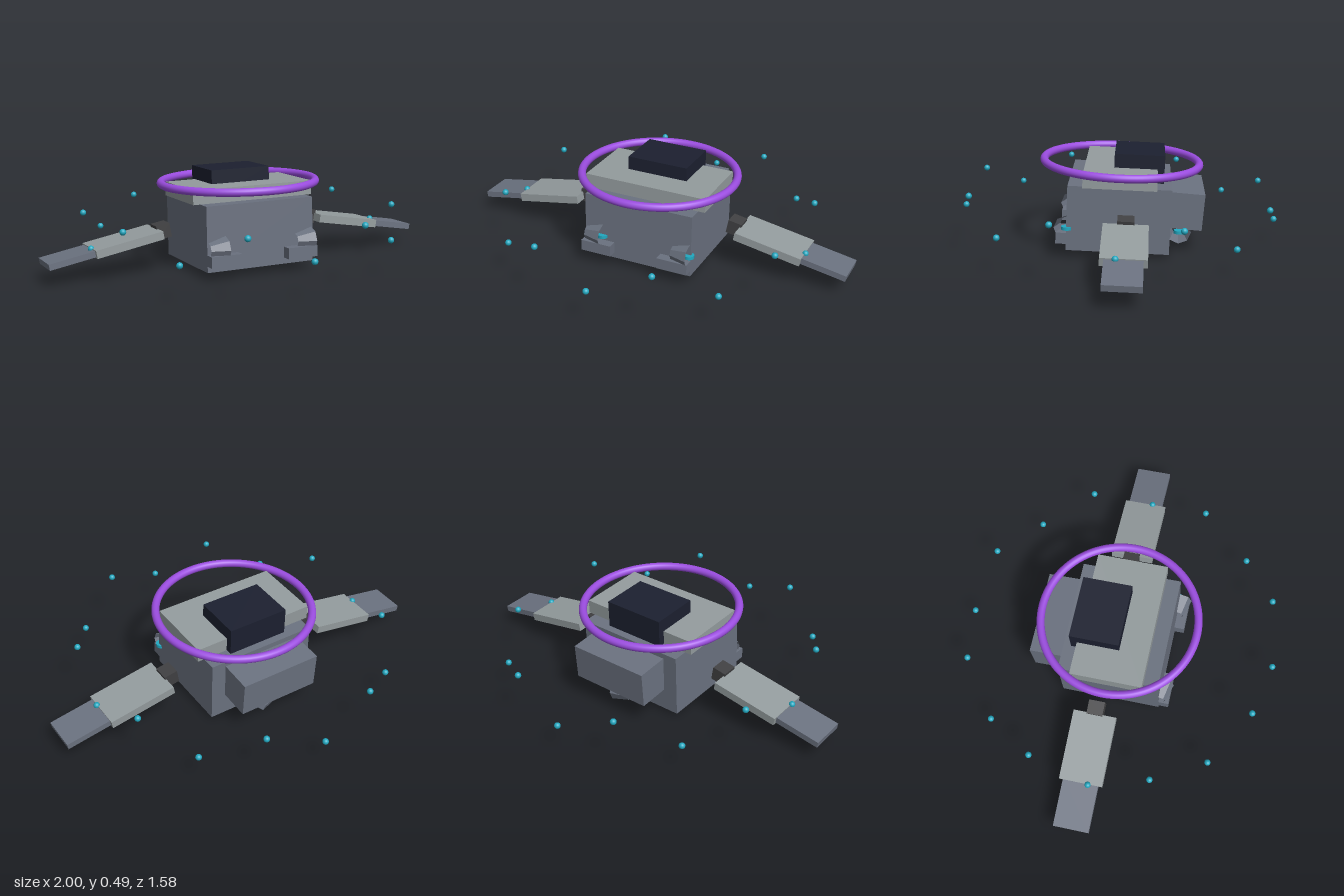
import * as THREE from 'three';

const mat = (color, extra = {}) => new THREE.MeshStandardMaterial({ color, ...extra });
const hullMat = mat(0x6b7280);
const plateMat = mat(0x949c9e);
const darkMat = mat(0x404042);
const lidMat = mat(0x1c2030);
const ringMat = mat(0x9b4de0);
const glowMat = mat(0x22a8c0);
const nozzleMat = mat(0x6b7280, { flatShading: true, side: THREE.DoubleSide });

function add(parent, name, geometry, material, x = 0, y = 0, z = 0) {
  const mesh = new THREE.Mesh(geometry, material);
  mesh.name = name;
  mesh.position.set(x, y, z);
  parent.add(mesh);
  return mesh;
}
const box = (w, h, d) => new THREE.BoxGeometry(w, h, d);

// Open cone flaring towards +x with a glowing disc in its mouth
function addThruster(parent, name, x, y, z) {
  const thruster = new THREE.Group();
  thruster.name = name;
  thruster.position.set(x, y, z);
  const cone = new THREE.CylinderGeometry(0.062, 0.035, 0.09, 8, 1, true);
  add(thruster, 'nozzle', cone, nozzleMat).rotation.z = -Math.PI / 2;
  add(thruster, 'glowDisc', new THREE.CylinderGeometry(0.026, 0.026, 0.016, 16), glowMat, 0.042);
  parent.add(thruster);
}

// Drooping two-panel wing, side = 1 for the left and -1 for the right
function addWing(parent, side) {
  const wing = new THREE.Group();
  wing.name = side > 0 ? 'leftWing' : 'rightWing';
  wing.position.set(side * 0.405, 0.013, -0.037);
  wing.rotation.z = -side * THREE.MathUtils.degToRad(10);
  add(wing, 'wingHinge', box(0.07, 0.07, 0.08), darkMat);
  add(wing, 'innerPanel', box(0.345, 0.04, 0.215), plateMat, side * 0.2);
  add(wing, 'outerPanel', box(0.25, 0.03, 0.177), hullMat, side * 0.476);
  parent.add(wing);
}

export function createModel() {
  const model = new THREE.Group();
  model.name = 'hoverCraft';

  // Everything is pitched slightly nose-up
  const craft = new THREE.Group();
  craft.name = 'craft';
  craft.position.y = 0.187;
  craft.rotation.x = -0.0427;
  model.add(craft);

  // Hull, top plate and hatch
  add(craft, 'hull', box(0.57, 0.32, 0.5), hullMat);
  add(craft, 'topPlate', box(0.64, 0.07, 0.355), plateMat, 0, 0.195, 0);
  add(craft, 'hatch', box(0.315, 0.14, 0.245), lidMat, 0, 0.228, -0.089);

  // Rear housing
  add(craft, 'rearHousing', box(0.42, 0.18, 0.165), hullMat, 0, 0.04, -0.327).rotation.x = -0.045;

  // Halo ring
  add(craft, 'haloRing', new THREE.TorusGeometry(0.386, 0.02, 16, 96), ringMat, 0, 0.231, 0)
    .rotation.x = Math.PI / 2;

  // Wings, front feet and front thrusters
  for (const side of [1, -1]) {
    addWing(craft, side);
    add(craft, 'frontFoot', box(0.16, 0.055, 0.1), hullMat, side * 0.205, -0.102, 0.25);
    addThruster(craft, 'frontThruster', side * 0.233, -0.051, 0.249);
  }
  addThruster(craft, 'rearThruster', 0, -0.112, -0.302);

  // Circle of floating beads, alternating in height
  const bead = new THREE.SphereGeometry(0.0155, 16, 12);
  for (let i = 0; i < 16; i++) {
    const a = (i / 16) * Math.PI * 2;
    add(craft, 'bead', bead, glowMat, Math.cos(a) * 0.777, i % 2 ? 0.09 : -0.034, Math.sin(a) * 0.777);
  }
  return model;
}
